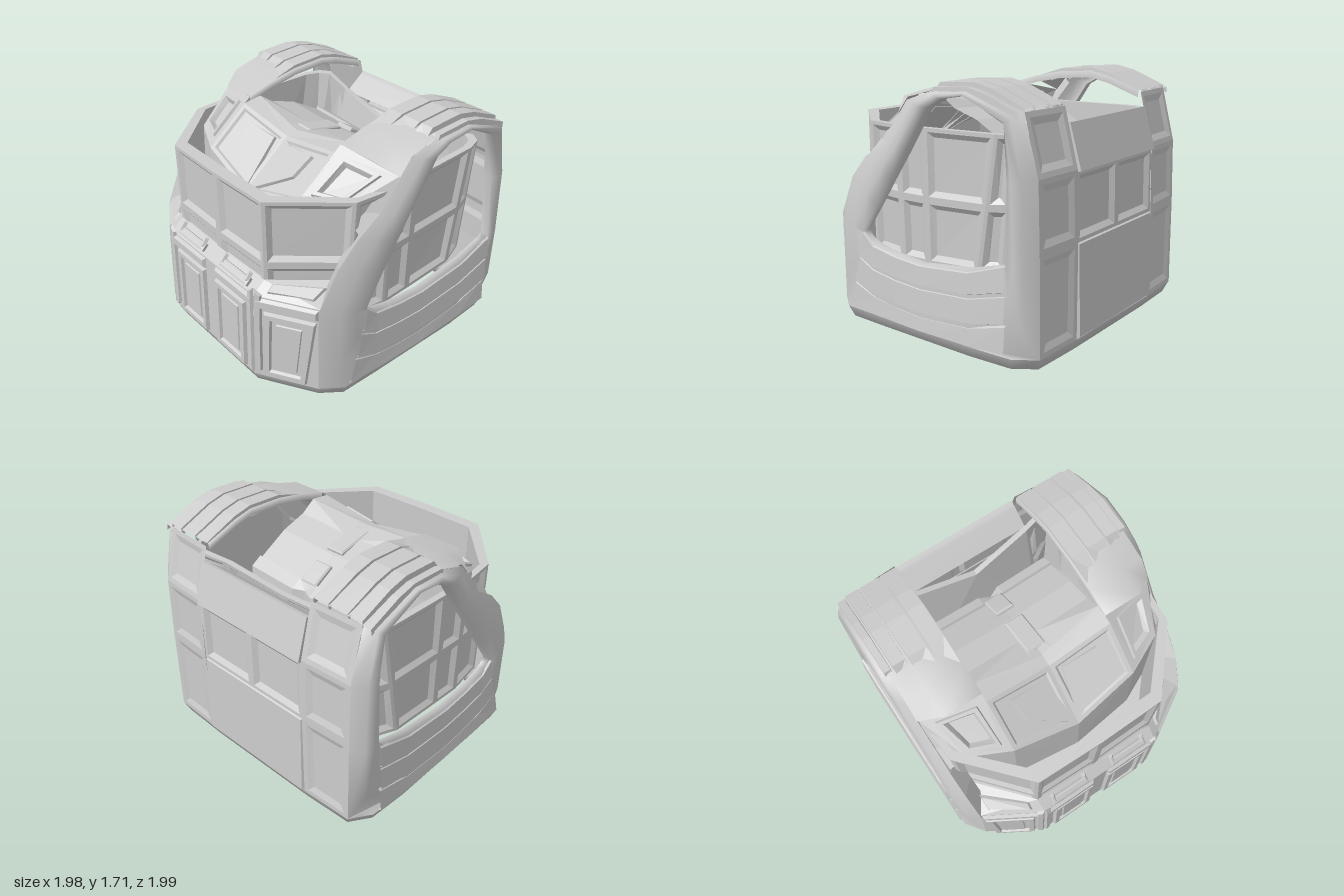
import * as THREE from 'three';

const flat = new THREE.MeshStandardMaterial({ color: 0xcccccc, flatShading: true, side: THREE.DoubleSide });
const smooth = new THREE.MeshStandardMaterial({ color: 0xcccccc, side: THREE.DoubleSide });
const V = (p) => new THREE.Vector3(...p);
const mix = (a, b, t) => a.map((v, i) => v + (b[i] - v) * t);

// Surface through rows of points
function loft(rows, closed = false) {
  const n = rows[0].length, index = [];
  const last = closed ? rows.length : rows.length - 1;
  for (let r = 0; r < last; r++) for (let i = 0; i < n - 1; i++) {
    const a = r * n + i, b = ((r + 1) % rows.length) * n + i;
    index.push(a, b, a + 1, b, b + 1, a + 1);
  }
  const g = new THREE.BufferGeometry();
  g.setAttribute('position', new THREE.Float32BufferAttribute(rows.flat(2), 3));
  g.setIndex(index);
  g.computeVertexNormals();
  return g;
}

// Four-cornered panel stepped through [inset, height] rings, then filled
function tile(q, rings) {
  let c = q.map(V);
  const mid = c.reduce((s, p) => s.add(p), new THREE.Vector3()).multiplyScalar(0.25);
  const normal = () => c[2].clone().sub(c[0]).cross(c[3].clone().sub(c[1])).normalize();
  if (normal().dot(mid.clone().sub(new THREE.Vector3(0, 0.6, -0.1))) < 0) c = [c[0], c[3], c[2], c[1]];
  const nrm = normal(), pos = [], index = [];
  const w = (c[0].distanceTo(c[1]) + c[2].distanceTo(c[3])) / 2;
  const h = (c[1].distanceTo(c[2]) + c[3].distanceTo(c[0])) / 2;
  rings.forEach(([inset, height], r) => {
    const u = Math.min(inset / w, 0.45), v = Math.min(inset / h, 0.45);
    [[u, v], [1 - u, v], [1 - u, 1 - v], [u, 1 - v]].forEach(([s, t], i) => {
      const p = c[0].clone().lerp(c[1], s).lerp(c[3].clone().lerp(c[2], s), t).addScaledVector(nrm, height);
      pos.push(p.x, p.y, p.z);
      if (r > 0) {
        const j = (i + 1) % 4, a = (r - 1) * 4, b = r * 4;
        index.push(a + i, a + j, b + j, a + i, b + j, b + i);
      }
    });
  });
  const e = (rings.length - 1) * 4;
  index.push(e, e + 1, e + 2, e, e + 2, e + 3);
  const g = new THREE.BufferGeometry();
  g.setAttribute('position', new THREE.Float32BufferAttribute(pos, 3));
  g.setIndex(index);
  g.computeVertexNormals();
  return g;
}

function mirrored(g) {
  const m = g.clone(), a = m.index.array, p = m.attributes.position;
  for (let i = 0; i < p.count; i++) p.setX(i, -p.getX(i));
  for (let i = 0; i < a.length; i += 3) [a[i], a[i + 1]] = [a[i + 1], a[i]];
  m.computeVertexNormals();
  return m;
}

export function createModel() {
  const model = new THREE.Group();
  const add = (name, g, mat = flat) => {
    const mesh = new THREE.Mesh(g, mat);
    mesh.name = name;
    model.add(mesh);
  };
  const both = (name, g, mat) => { add(name + 'Left', g, mat); add(name + 'Right', mirrored(g), mat); };
  const recess = [[0, 0], [0.025, 0], [0.06, -0.025]];
  const raised = [[0, 0], [0.012, 0.02]];

  // Side shells around the armholes: outer edge and armhole edge as [x, y, z]
  const stations = [
    [[0.87, 0.72, 0.74], [0.97, 0.66, 0.42]], [[0.89, 1.0, 0.6], [0.96, 0.87, 0.28]],
    [[0.9, 1.16, 0.45], [0.955, 1.08, 0.14]], [[0.9, 1.27, 0.28], [0.95, 1.27, 0.01]],
    [[0.91, 1.57, 0.04], [0.95, 1.54, -0.17]],
    [[0.91, 1.65, -0.2], [0.94, 1.6, -0.28]], [[0.91, 1.66, -0.46], [0.94, 1.63, -0.46]],
    [[0.87, 1.55, -0.84], [0.93, 1.49, -0.74]], [[0.86, 1.18, -0.94], [0.94, 1.15, -0.77]],
    [[0.86, 0.68, -0.955], [0.965, 0.68, -0.79]], [[0.86, 0.08, -0.965], [0.97, 0.65, -0.74]],
    [[0.98, 0.08, -0.5], [0.97, 0.58, -0.5]], [[0.98, 0.08, -0.1], [0.97, 0.53, -0.1]],
    [[0.98, 0.08, 0.3], [0.97, 0.555, 0.2]], [[0.975, 0.08, 0.6], [0.97, 0.59, 0.33]],
    [[0.87, 0.08, 0.74], [0.97, 0.62, 0.39]],
  ];
  both('sideShell', loft(stations.map(([o, i]) => {
    const a = mix(o, i, 0.35), b = mix(o, i, 0.7);
    a[0] = Math.max(a[0], 0.95); b[0] = 0.973;
    return [o, a, b, i, [i[0] - 0.06, i[1], i[2]]];
  }), true), smooth);
  // Flange joining the strap to the chest
  both('strapFlange', loft(stations.slice(0, 5).map(([[x, y, z]]) => [[x, y, z], [x - 0.1, y - 0.02, z - 0.1]])));

  // Bottom rim and inner wall
  const plan = [[0, 0.97], [0.48, 0.97], [0.87, 0.74], [0.975, 0.6], [0.98, 0.3], [0.98, -0.5], [0.96, -0.82], [0.86, -0.965], [0.48, -0.98], [0, -0.98]];
  both('bottomRim', loft(plan.map(([x, z]) => [[1, 0.08], [0.965, 0], [0.9, 0], [0.92, 0.06], [0.94, 0.5]]
    .map(([s, y]) => [x * s, y, z * s]))), smooth);

  // Layered waist straps: front corner depth and how far the ends sweep up
  const zs = [0.33, 0.12, -0.1, -0.5, -0.785], sag = [0.05, 0.015, 0, 0.04, 0.14];
  [[0.53, 0.385, 1, 0.8, 0.42, 0.45], [0.37, 0.2, 0.8, 0.7, 0.46, 0.5], [0.18, 0.07, 0.8, 0.25, 0.51, 0.56]]
    .forEach(([t, b, ft, fb, zt, zb], k) => {
      const ribs = [[zt, zb, 0.13], ...zs.map((z, i) => [z, z, sag[i]])];
      both('waistStrap' + k, loft(ribs.map(([z0, z1, s]) => [
        [0.965, t + s * ft, z0], [0.98, t + s * ft - 0.01, z0],
        [0.992, b + s * fb + 0.01, z1], [0.965, b + s * fb, z1]])));
    });

  // Lower front wall with pouches
  const front = (x, y, out = 0) => [x, y, (x <= 0.48 ? 0.97 : 0.97 - (x - 0.48) * 0.59) - (y - 0.08) * 0.03 + out];
  const fq = (x0, x1, y0, y1, out) => [front(x0, y0, out), front(x1, y0, out), front(x1, y1, out), front(x0, y1, out)];
  const pouch = [[0, 0], [0.01, 0.025], [0.045, 0.025], [0.055, 0.005], [0.08, 0.005], [0.085, 0.015]];
  both('frontWall', tile(fq(0, 0.48, 0.08, 0.74), [[0, 0]]));
  both('frontCornerWall', tile(fq(0.481, 0.87, 0.08, 0.74), [[0, 0]]));
  both('frontPouch', tile(fq(0.06, 0.4, 0.1, 0.64), pouch));
  both('cornerPouch', tile([front(0.54, 0.1), front(0.8, 0.1), front(0.85, 0.63), front(0.54, 0.63)], pouch));
  both('frontBar', tile(fq(0.06, 0.48, 0.65, 0.73), [[0, 0], [0.015, 0.022]]));
  both('cornerBar', tile(fq(0.485, 0.86, 0.65, 0.73), [[0, 0], [0.015, 0.022]]));
  both('frontStrap', tile([front(0.43, 0.13), front(0.48, 0.09), front(0.48, 0.8), front(0.43, 0.76)], raised));
  both('cornerStrap', tile([front(0.481, 0.09), front(0.53, 0.13), front(0.53, 0.76), front(0.481, 0.8)], raised));
  both('pouchLedge', loft([[front(0, 0.74), [0, 0.82, 0.87]], [front(0.48, 0.74), [0.48, 0.82, 0.86]], [front(0.87, 0.74), [0.83, 0.82, 0.46]]]));
  // U-shaped pouch clips
  both('pouchClip', tile([[0.1, 0.76, 0.94], [0.4, 0.76, 0.94], [0.4, 0.8, 0.9], [0.1, 0.8, 0.9]], [[0, -0.02], [0, 0.015], [0.01, 0.02]]));
  for (const x of [0.1, 0.365]) {
    both('clipArm', tile([[x, 0.78, 0.93], [x + 0.035, 0.78, 0.93], [x + 0.035, 0.84, 0.885], [x, 0.84, 0.885]], raised));
  }
  both('cornerClip', tile([[0.54, 0.76, 0.89], [0.8, 0.76, 0.72], [0.8, 0.81, 0.6], [0.54, 0.81, 0.84]], raised));

  // Panelled inner vest, wrapping from the chest round inside the armholes to the back
  const columns = [
    [[0, 0.5, 0.87], [0, 1.4, 0.87]], [[0.48, 0.5, 0.86], [0.48, 1.4, 0.86]], [[0.83, 0.5, 0.45], [0.86, 1.4, 0.43]],
    [[0.87, 0.5, 0.15], [0.89, 1.4, 0.15]], [[0.86, 0.5, -0.07], [0.88, 1.4, -0.07]],
    [[0.86, 0.53, -0.48], [0.86, 1.41, -0.62]], [[0.8, 0.55, -0.66], [0.82, 1.41, -0.73]],
    [[0.7, 0.57, -0.81], [0.74, 1.41, -0.78]], [[0.48, 0.6, -0.58], [0.48, 1.38, -0.72]], [[0, 0.6, -0.58], [0, 1.3, -0.66]],
  ];
  const onColumn = (i, y) => mix(...columns[i], (y - 0.5) / 0.9);
  for (let i = 0; i < columns.length - 1; i++) {
    for (const [y0, y1] of [[0.93, 1.4], [i < 2 ? 0.74 : 0.5, 0.93]]) {
      both('vestPanel', tile([onColumn(i, y0), onColumn(i + 1, y0), onColumn(i + 1, y1), onColumn(i, y1)], recess));
    }
  }
  both('vestLining', loft(columns.map(([b, t], i) => {
    const s = i < 3 ? 0.9 : 0.94;
    return [t, [t[0] * 0.95, t[1], t[2] * s], [b[0] * 0.95, i < 2 ? 0.74 : b[1], b[2] * s]];
  })));

  // Sloping chest plate below a flat neck shelf, with clasp and pockets
  const chest = (x, z) => [x, 1.46 + x * 0.15 - (z - 0.27) * 0.8, z];
  both('neckShelf', loft([[[0, 1.48, 0.19], chest(0, 0.27)], [[0.48, 1.55, 0.13], chest(0.48, 0.27)]]));
  both('chestPlate', tile([chest(0, 0.64), chest(0.48, 0.58), chest(0.48, 0.27), chest(0, 0.27)], [[0, 0], [0.03, 0], [0.045, -0.015]]));
  both('chestClasp', tile([chest(0.005, 0.63), chest(0.31, 0.47), chest(0.34, 0.33), chest(0.07, 0.31)], [[0, -0.02], [0.008, 0.008]]));
  both('chestPocket', tile([chest(0.48, 0.58), [0.76, 1.31, 0.45], [0.9, 1.48, 0.12], [0.48, 1.57, 0.22]],
    [[0, 0], [0.06, 0], [0.065, 0.02], [0.09, 0.02], [0.11, -0.02]]));
  both('chestPocketEdge', tile([[0.76, 1.31, 0.45], [0.9, 1.15, 0.42], [0.91, 1.27, 0.25], [0.9, 1.48, 0.12]], [[0, 0]]));
  // Underside of the chest and the floor closing it to the front wall
  both('chestBase', loft([[0, 0.64, 0.92], [0.48, 0.58, 0.91], [0.76, 0.45, 0.74]]
    .map(([x, z, zf]) => [x > 0.7 ? [x, 1.31, z] : chest(x, z), [x, 0.75, z + 0.03], [x, 0.75, zf]])));

  // Neck roll between the shoulders
  const roll = [[1.48, 0.19], [1.45, 0.02], [1.39, -0.17], [1.26, -0.4], [1.28, -0.41], [1.23, -0.49], [1.13, -0.5]];
  both('neckRoll', loft([0, 0.08, 0.48].map((x) => roll.map(([y, z], i) =>
    [x, y + x * (i ? 0.05 : 0.146), i ? z + (x < 0.05 && z < -0.41 ? 0.04 : 0) : z - x * 0.125]))));
  const clip = [[0, -0.02], [0, 0.015], [0.01, 0.025]];
  add('neckClip', tile([[-0.07, 1.46, 0.13], [0.07, 1.46, 0.13], [0.07, 1.4, -0.15], [-0.07, 1.4, -0.15]], clip));
  add('rearNeckClip', tile([[-0.07, 1.35, -0.25], [0.07, 1.35, -0.25], [0.07, 1.26, -0.41], [-0.07, 1.26, -0.41]], clip));

  // Shoulder arches with ribbed pads
  const arch = [[1.57, 0.22], [1.625, 0.03], [1.67, -0.2], [1.685, -0.46], [1.655, -0.6], [1.57, -0.84]];
  const outerArch = [[1.48, 0.12], [1.59, 0.03], [1.65, -0.2], [1.66, -0.46], [1.63, -0.6], [1.55, -0.84]];
  both('shoulder', loft(arch.map(([y, z], i) => [[0.48, y - 0.05, z], [0.48, y, z], [0.75, y, z], [0.91, ...outerArch[i]]])), smooth);
  [[0.485, 0.605], [0.615, 0.755], [0.765, 0.865], [0.875, 0.93]].forEach(([x0, x1]) => {
    const path = [[1.61, 0.03], ...arch.slice(2)];
    const d = x1 > 0.9 ? -0.025 : 0;
    both('shoulderPad', loft(path.map(([y, z], i) => {
      const end = i === 0 || i === path.length - 1, up = (end ? 0.01 : 0.022) + d;
      const zAt = (x) => (i === 0 ? z - (x - 0.49) * 0.45 : z);
      return [[x0, y - 0.02, zAt(x0)], [x0 + 0.004, y + up, zAt(x0)], [x1 - 0.004, y + up, zAt(x1)], [x1, y - 0.03 + d, zAt(x1)]];
    })));
  });

  // Back columns below the shoulders
  const back = [[1.56, -0.86, -0.84], [1.18, -0.96, -0.94], [0.73, -0.975, -0.955], [0.08, -0.98, -0.965]];
  for (let i = 0; i < 3; i++) {
    const [y1, a1, b1] = back[i], [y0, a0, b0] = back[i + 1];
    both('backColumnPanel', tile([[0.48, y0, a0], [0.865, y0, b0], [0.865, y1, b1], [0.48, y1, a1]],
      [[0, 0], [0.035, 0], [0.08, -0.015]]));
  }

  // Central back plates and the neck lip
  add('lowerBackPlate', tile([[-0.48, 0.09, -0.98], [0.48, 0.09, -0.98], [0.48, 0.72, -0.96], [-0.48, 0.72, -0.96]], [[0, 0], [0.01, 0.018]]));
  both('middleBackPanel', tile([[0, 0.72, -0.97], [0.48, 0.72, -0.97], [0.48, 1.17, -0.96], [0, 1.17, -0.96]], recess));
  add('upperBackPlate', tile([[-0.48, 1.17, -0.975], [0.48, 1.17, -0.975], [0.48, 1.46, -0.89], [-0.48, 1.46, -0.89]], [[0, -0.02], [0, 0.01]]));
  add('backLip', loft([-0.48, 0.48].map((x) => [[x, 1.46, -0.895], [x, 1.44, -0.86], [x, 1.34, -0.73]])));
  return model;
}
